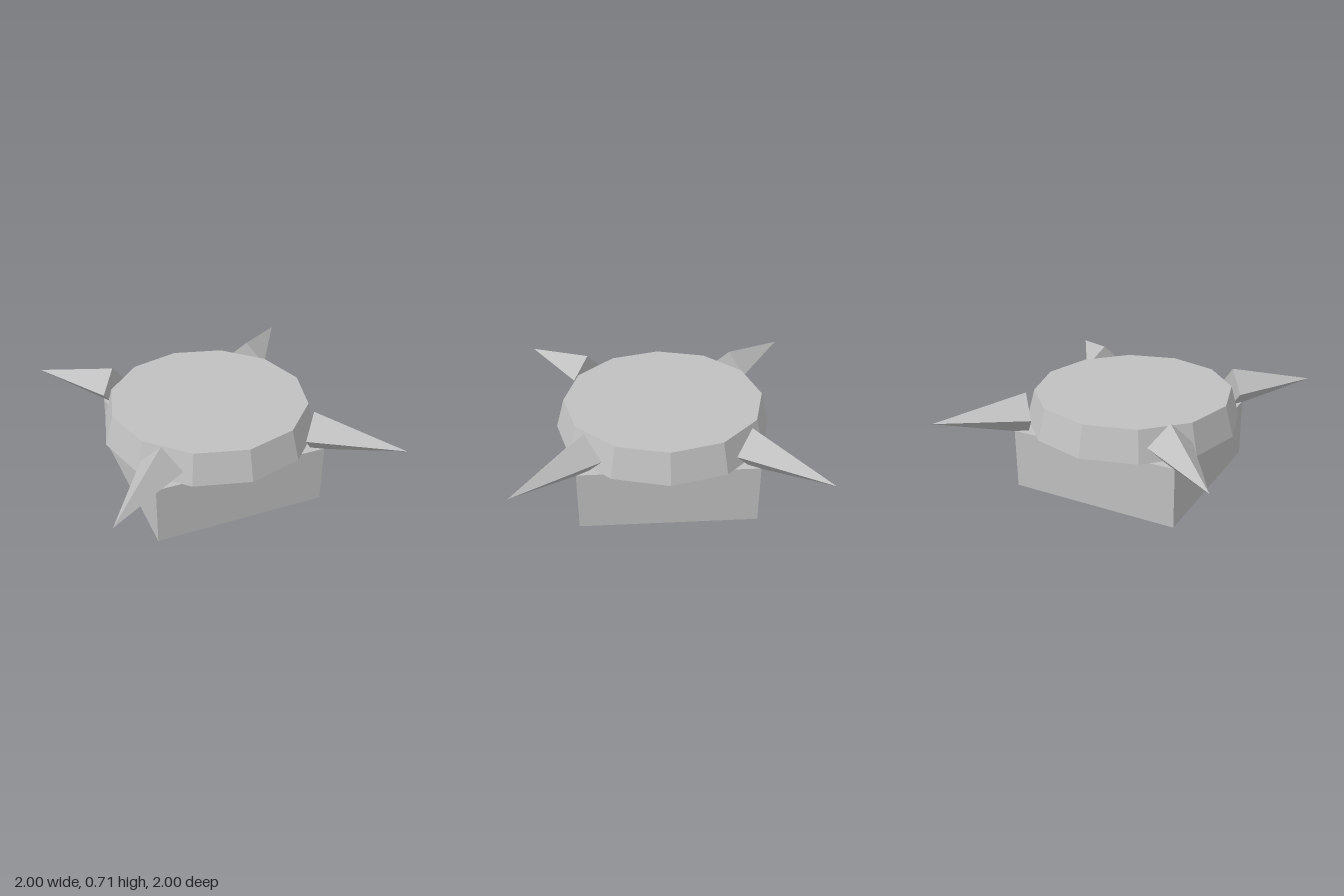
import * as THREE from 'three';

export function createModel() {
  const model = new THREE.Group();
  model.name = 'spikedBlock';
  const grey = new THREE.MeshStandardMaterial({ color: 0xc0c0c0 });
  grey.name = 'stone grey';

  function add(name, geometry, x, y, z) {
    // unshared vertices give every facet a flat normal
    const flat = geometry.index ? geometry.toNonIndexed() : geometry;
    flat.computeVertexNormals();
    const mesh = new THREE.Mesh(flat, grey);
    mesh.name = name;
    mesh.position.set(x, y, z);
    model.add(mesh);
    return mesh;
  }

  // square base block
  const baseHeight = 0.43;
  add('base', new THREE.BoxGeometry(1.226, baseHeight, 1.226), 0, baseHeight / 2, 0);

  // twelve-sided tapered drum
  const drumHeight = 0.217;
  add('drum', new THREE.CylinderGeometry(0.707, 0.767, drumHeight, 12), 0, baseHeight + drumHeight / 2, 0);

  // four-sided spikes pointing out over the corners
  const length = 0.643;
  const reach = Math.SQRT2 - length / 2;
  const names = ['spikeFrontLeft', 'spikeBackLeft', 'spikeBackRight', 'spikeFrontRight'];
  names.forEach((name, i) => {
    const angle = -Math.PI / 4 + (i * Math.PI) / 2;
    const cone = new THREE.ConeGeometry(0.151, length, 4).rotateZ(-Math.PI / 2).rotateY(angle);
    add(name, cone, Math.cos(angle) * reach, 0.556, -Math.sin(angle) * reach);
  });

  return model;
}
